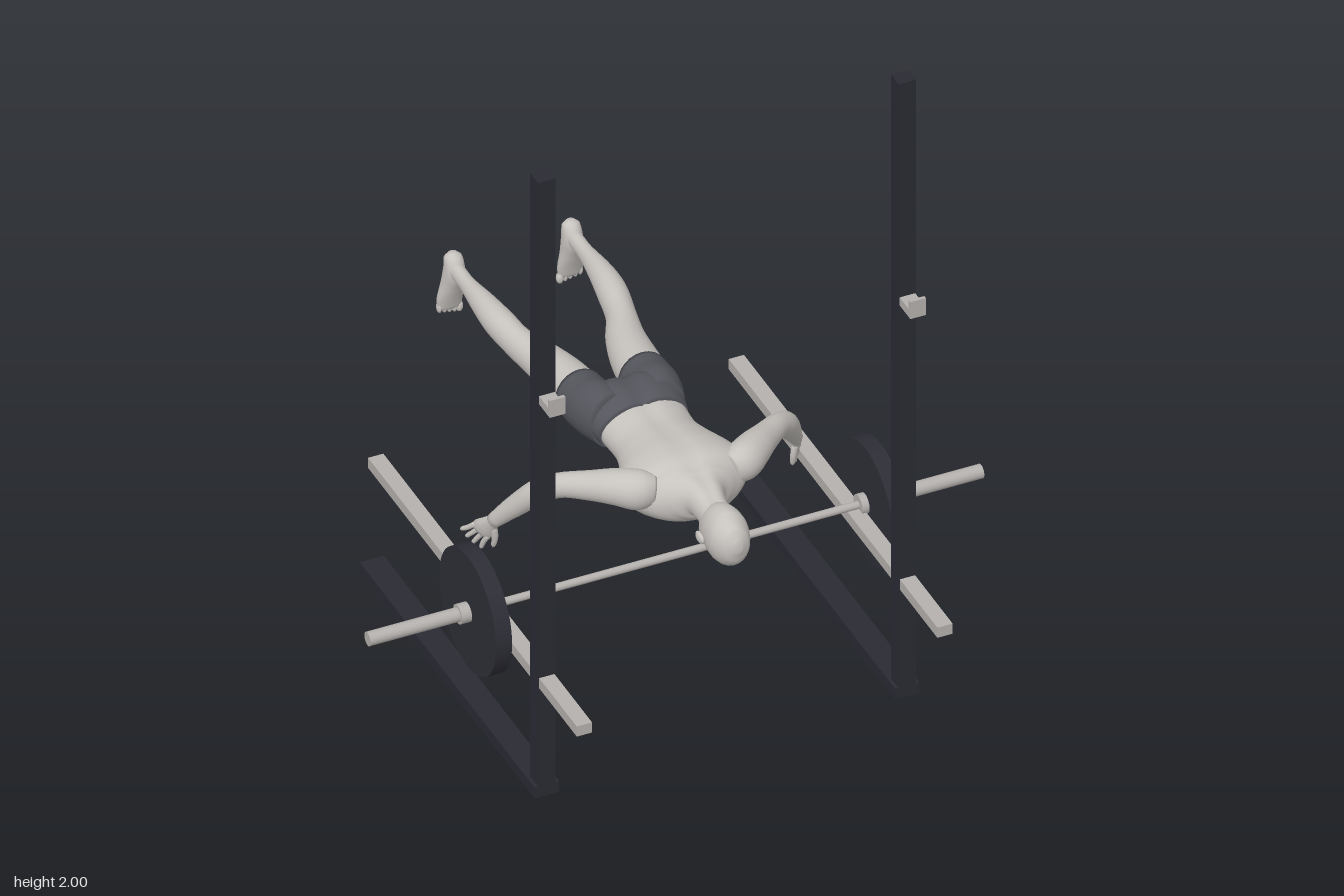
import * as THREE from 'three';

const mat = (name, color) => Object.assign(new THREE.MeshStandardMaterial({ color }), { name });
const V = (x, y, z) => new THREE.Vector3(x, y, z);

// Smooth closed skin through elliptical sections [x, y, z, halfWidth, halfHeight]
function loft(sections, ref, { side = 1, steps = 5, sides = 24, groove = 0 } = {}) {
  const path = new THREE.CatmullRomCurve3(sections.map(p => V(p[0] * side, p[1], p[2])));
  const radii = new THREE.CatmullRomCurve3(sections.map(p => V(p[3], p[4], 0)), false, 'catmullrom', 0.5);
  const rings = (sections.length - 1) * steps;
  const pos = [], idx = [];
  for (let i = 0; i <= rings; i++) {
    const c = path.getPoint(i / rings), r = radii.getPoint(i / rings), t = path.getTangent(i / rings);
    const u = ref.clone().cross(t).normalize(), v = t.clone().cross(u);
    for (let j = 0; j < sides; j++) {
      const a = j / sides * Math.PI * 2;
      const p = c.clone().addScaledVector(u, r.x * Math.cos(a)).addScaledVector(v, r.y * Math.sin(a));
      // furrow along the spine
      if (p.y > c.y) p.y -= groove * Math.exp(-((p.x / 0.02) ** 2));
      pos.push(p.x, p.y, p.z);
      if (i < rings) {
        const k = i * sides + j, n = i * sides + (j + 1) % sides;
        idx.push(k, n, k + sides, n, n + sides, k + sides);
      }
    }
  }
  // end caps
  const first = path.getPoint(0), last = path.getPoint(1), c0 = pos.length / 3, top = rings * sides;
  pos.push(first.x, first.y, first.z, last.x, last.y, last.z);
  for (let j = 0; j < sides; j++) {
    const n = (j + 1) % sides;
    idx.push(c0, n, j, c0 + 1, top + j, top + n);
  }
  const g = new THREE.BufferGeometry();
  g.setAttribute('position', new THREE.Float32BufferAttribute(pos, 3));
  g.setIndex(idx);
  g.computeVertexNormals();
  return g;
}

export function createModel() {
  const skin = mat('skin', 0xc6c2be), shorts = mat('shorts', 0x55565d);
  const steel = mat('steel', 0xb4b0ad), frame = mat('frame', 0x2a2a33), rubber = mat('rubber', 0x2d2d36);
  const model = new THREE.Group();
  const UP = V(0, 1, 0), FRONT = V(0, 0, 1);

  const add = (name, geo, material, parent = model) => {
    const m = new THREE.Mesh(geo, material);
    m.name = name;
    parent.add(m);
    return m;
  };
  // box from its limits
  const box = (name, material, x, w, y0, y1, z0, z1, parent) =>
    add(name, new THREE.BoxGeometry(w, y1 - y0, z1 - z0), material, parent)
      .position.set(x, (y0 + y1) / 2, (z0 + z1) / 2);
  const ball = (name, material, x, y, z, rx, ry, rz, parent) => {
    const m = add(name, new THREE.SphereGeometry(1, 16, 12), material, parent);
    m.position.set(x, y, z);
    m.scale.set(rx, ry, rz);
  };
  const group = name => {
    const g = new THREE.Group();
    g.name = name;
    model.add(g);
    return g;
  };

  const rack = group('rack'), barbell = group('barbell'), athlete = group('athlete');

  // rack: one upright, foot, hook and safety arm on each side
  for (const s of [-1, 1]) {
    const x = s * 0.52;
    box('upright', frame, x, 0.05, 0, 2, 0.52, 0.57, rack);
    box('rackFoot', frame, x, 0.07, 0, 0.035, -0.525, 0.57, rack);
    box('safetyArm', steel, x, 0.044, 0.355, 0.388, -0.5, 0.805, rack);
    box('hookShelf', steel, x, 0.045, 1.28, 1.306, 0.57, 0.635, rack);
    box('hookLip', steel, x, 0.045, 1.28, 1.335, 0.627, 0.637, rack);
  }

  // barbell
  const rod = (name, material, r, x0, x1, sides = 24) => {
    const m = add(name, new THREE.CylinderGeometry(r, r, Math.abs(x1 - x0), sides), material, barbell);
    m.rotation.z = Math.PI / 2;
    m.position.set((x0 + x1) / 2, 0.4, 0.24);
  };
  rod('bar', steel, 0.011, -0.54, 0.54);
  for (const s of [-1, 1]) {
    rod('sleeve', steel, 0.02, s * 0.53, s * 0.885);
    rod('innerCollar', steel, 0.029, s * 0.53, s * 0.55);
    rod('plate', rubber, 0.178, s * 0.55, s * 0.596, 48);
    rod('outerCollar', steel, 0.028, s * 0.596, s * 0.625);
  }

  // head, face down
  add('head', loft([
    [0, 0.692, 0.642, 0.012, 0.016], [0, 0.69, 0.627, 0.038, 0.05], [0, 0.684, 0.59, 0.056, 0.076],
    [0, 0.682, 0.55, 0.058, 0.081], [0, 0.665, 0.51, 0.05, 0.068], [0, 0.64, 0.48, 0.036, 0.038],
    [0, 0.632, 0.468, 0.014, 0.015],
  ], UP), skin, athlete);
  ball('nose', skin, 0, 0.602, 0.545, 0.011, 0.016, 0.02, athlete);

  // neck and trunk
  add('torso', loft([
    [0, 0.7, 0.53, 0.042, 0.046], [0, 0.705, 0.47, 0.045, 0.05], [0, 0.712, 0.43, 0.058, 0.057],
    [0, 0.707, 0.4, 0.1, 0.07], [0, 0.699, 0.365, 0.15, 0.086], [0, 0.697, 0.32, 0.175, 0.096],
    [0, 0.699, 0.26, 0.164, 0.092], [0, 0.699, 0.2, 0.14, 0.082], [0, 0.696, 0.13, 0.121, 0.076],
    [0, 0.697, 0.04, 0.124, 0.077],
  ], UP, { sides: 40, groove: 0.008 }), skin, athlete);

  // shorts
  add('shortsSeat', loft([
    [0, 0.698, 0.052, 0.127, 0.08], [0, 0.703, 0, 0.139, 0.087],
    [0, 0.703, -0.05, 0.145, 0.083], [0, 0.695, -0.09, 0.11, 0.062],
  ], UP, { sides: 40, groove: 0.014 }), shorts, athlete);

  for (const side of [-1, 1]) {
    const o = { side };
    ball('ear', skin, side * 0.061, 0.672, 0.532, 0.008, 0.016, 0.023, athlete);

    add('shortsLeg', loft([
      [0.075, 0.704, 0.01, 0.06, 0.08], [0.084, 0.702, -0.05, 0.07, 0.084],
      [0.09, 0.694, -0.1, 0.072, 0.078], [0.092, 0.69, -0.157, 0.07, 0.073],
    ], UP, o), shorts, athlete);

    // thigh, knee, calf and ankle
    add('leg', loft([
      [0.092, 0.69, -0.13, 0.067, 0.071], [0.1, 0.69, -0.22, 0.064, 0.063], [0.118, 0.69, -0.32, 0.054, 0.054],
      [0.146, 0.697, -0.41, 0.041, 0.047], [0.162, 0.709, -0.5, 0.041, 0.044], [0.168, 0.714, -0.58, 0.034, 0.037],
      [0.17, 0.713, -0.68, 0.022, 0.026], [0.17, 0.713, -0.74, 0.021, 0.025], [0.17, 0.712, -0.775, 0.02, 0.027],
    ], UP, o), skin, athlete);

    // foot, sole to the back and toes down
    add('foot', loft([
      [0.17, 0.757, -0.78, 0.01, 0.01], [0.17, 0.745, -0.777, 0.024, 0.023], [0.17, 0.71, -0.768, 0.028, 0.034],
      [0.172, 0.66, -0.777, 0.031, 0.027], [0.174, 0.61, -0.787, 0.037, 0.019], [0.174, 0.572, -0.792, 0.035, 0.012],
    ], FRONT, o), skin, athlete);
    for (let i = 0; i < 5; i++)
      ball('toe', skin, side * (0.145 + i * 0.0145), 0.567 + i * 0.003, -0.791,
        i ? 0.0075 : 0.0105, 0.018, 0.011, athlete);

    // shoulder, upper arm and forearm
    add('arm', loft([
      [0.11, 0.718, 0.35, 0.035, 0.045], [0.15, 0.725, 0.338, 0.052, 0.056], [0.195, 0.726, 0.305, 0.05, 0.05],
      [0.25, 0.716, 0.258, 0.04, 0.041], [0.315, 0.7, 0.203, 0.032, 0.034], [0.355, 0.665, 0.163, 0.034, 0.035],
      [0.4, 0.59, 0.104, 0.027, 0.029], [0.438, 0.52, 0.053, 0.016, 0.02],
    ], UP, o), skin, athlete);

    // hand: palm, four fingers and a thumb fanned across its width
    const axis = V(0.3, -0.77, -0.56).normalize(), across = V(0.52, 0.61, -0.57).normalize();
    const normal = axis.clone().cross(across).multiply(V(1, side, side));
    const wrist = V(0.436, 0.524, 0.056);
    const at = (along, wide, a, b) => [...wrist.clone().addScaledVector(axis, along)
      .addScaledVector(across, wide).toArray(), a, b];
    const digit = (name, pts) =>
      add(name, loft(pts, normal, { side, steps: 3, sides: 10 }), skin, athlete);
    digit('palm', [at(-0.01, 0, 0.017, 0.016), at(0.02, 0, 0.024, 0.014),
      at(0.05, 0, 0.032, 0.012), at(0.072, 0, 0.028, 0.008)]);
    for (let k = -1.5; k <= 1.5; k++) {
      const tip = 0.13 - Math.abs(k) * 0.007;
      digit('finger', [at(0.06, k * 0.015, 0.008, 0.008), at(0.095, k * 0.019, 0.007, 0.007),
        at(tip - 0.006, k * 0.023, 0.006, 0.006), at(tip, k * 0.024, 0.002, 0.002)]);
    }
    digit('thumb', [at(0.02, -0.012, 0.011, 0.01), at(0.045, -0.036, 0.009, 0.009),
      at(0.072, -0.05, 0.007, 0.007), at(0.082, -0.054, 0.002, 0.002)]);
  }
  return model;
}
